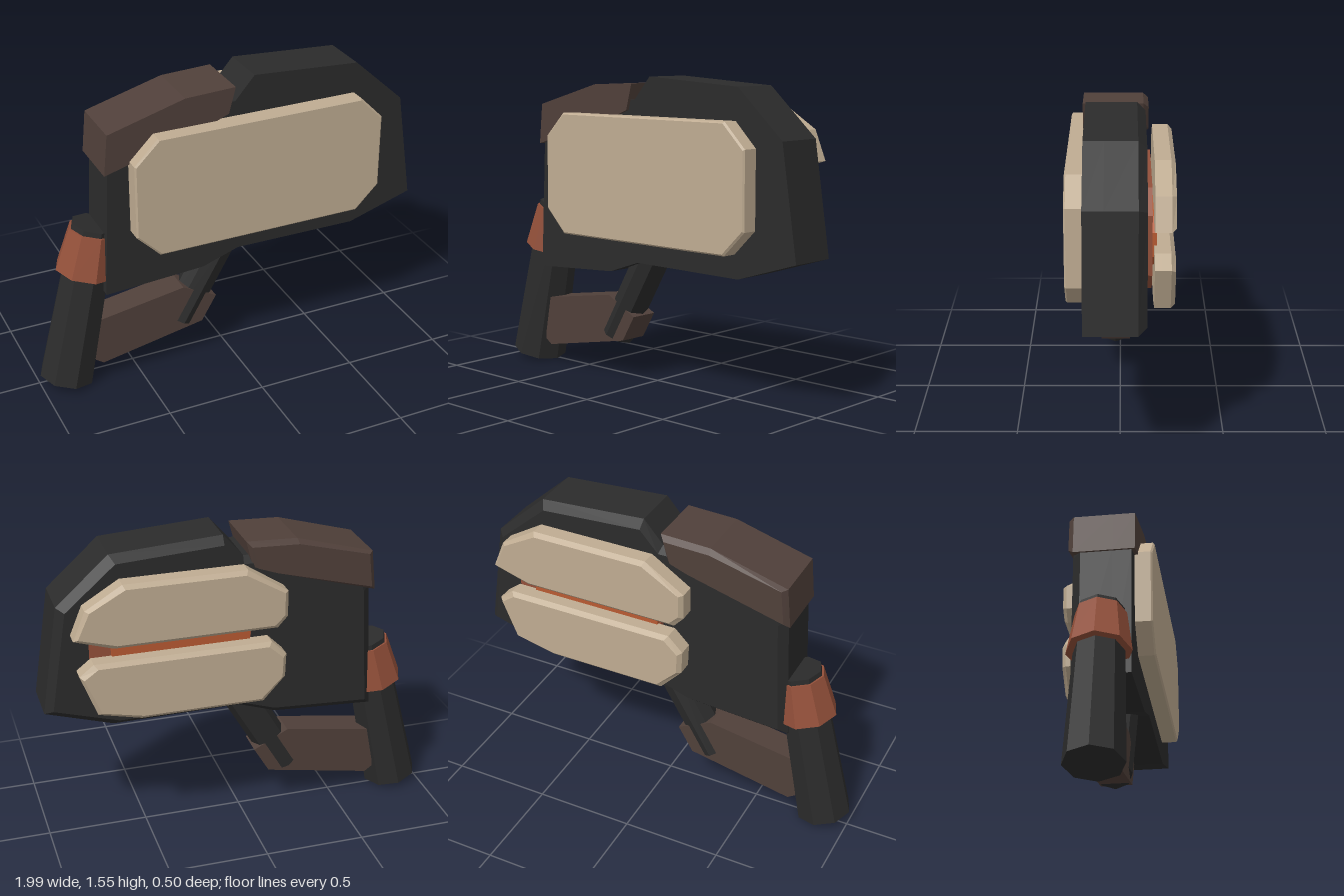
import * as THREE from 'three';

const paint = (name, color) => {
  const m = new THREE.MeshStandardMaterial({ color });
  m.name = name;
  return m;
};

// Outline in x/y extruded from z0 to z1, with optional bevels on the back and front rims.
function plate(points, z0, z1, back = 0, front = 0) {
  const shape = new THREE.Shape(points.map(([x, y]) => new THREE.Vector2(x, y)));
  const geo = new THREE.ExtrudeGeometry(shape, { depth: 3, steps: 3, bevelEnabled: false });
  geo.computeBoundingBox();
  const c = geo.boundingBox.getCenter(new THREE.Vector3());
  const size = geo.boundingBox.getSize(new THREE.Vector3());
  const d = z1 - z0;
  const levels = [z0, z0 + (back || d / 3), z1 - (front || d / 3), z1];
  const p = geo.attributes.position;
  for (let i = 0; i < p.count; i++) {
    const layer = Math.round(p.getZ(i));
    const inset = layer === 0 ? back : layer === 3 ? front : 0;
    p.setXYZ(i,
      c.x + (p.getX(i) - c.x) * (1 - 2 * inset / size.x),
      c.y + (p.getY(i) - c.y) * (1 - 2 * inset / size.y),
      levels[layer]);
  }
  geo.computeVertexNormals();
  return geo;
}

// Faceted rod between two x/y points, centred on the handle plane.
function rod(a, b, r0, r1) {
  const from = new THREE.Vector3(...a, 0.025), to = new THREE.Vector3(...b, 0.025);
  const dir = to.clone().sub(from);
  const geo = new THREE.CylinderGeometry(r1, r0, dir.length(), 8).toNonIndexed();
  geo.computeVertexNormals();
  geo.applyQuaternion(new THREE.Quaternion().setFromUnitVectors(new THREE.Vector3(0, 1, 0), dir.normalize()));
  const mid = from.add(to).multiplyScalar(0.5);
  return geo.translate(mid.x, mid.y, mid.z);
}

// Rectangle with cut corners.
const octagon = (x0, x1, y0, y1, c) => [
  [x0 + c, y0], [x1 - c, y0], [x1, y0 + c], [x1, y1 - c],
  [x1 - c, y1], [x0 + c, y1], [x0, y1 - c], [x0, y0 + c]];

export function createModel() {
  const group = new THREE.Group();
  const dark = paint('charcoal', 0x2b2b2b);
  const brown = paint('dark brown', 0x50403a);
  const cream = paint('cream', 0xbfac92);
  const rust = paint('rust', 0x94503a);
  const orange = paint('orange', 0xb85a32);

  const add = (name, geo, mat) => {
    const mesh = new THREE.Mesh(geo, mat);
    mesh.name = name;
    group.add(mesh);
  };

  // Main housing, bevelled along its back rim
  add('body', plate([
    [-0.68, 0.54], [-0.17, 0.57], [0.02, 0.635], [0.66, 0.63], [0.995, 0.735], [0.91, 1.28],
    [0.65, 1.515], [0.1, 1.55], [0, 1.435], [-0.25, 1.435], [-0.6, 1.35], [-0.65, 1.2],
  ], -0.12, 0.165, 0.04), dark);

  // Cover over the rear top corner
  add('topCover', plate([
    [-0.67, 1.19], [-0.14, 1.345], [-0.04, 1.385], [-0.005, 1.515], [-0.26, 1.505], [-0.65, 1.395],
  ], -0.138, 0.182, 0.025), brown);

  // Front side panel
  add('frontPanel', plate(octagon(-0.545, 0.76, 0.745, 1.36, 0.12), 0.16, 0.25, 0, 0.008), cream);

  // Back side: stacked plates under two armour panels
  add('backPlate', plate(octagon(-0.02, 0.77, 0.83, 1.31, 0.1), -0.143, -0.11), rust);
  add('backCore', plate(octagon(-0.01, 0.67, 0.92, 1.155, 0.06), -0.165, -0.135), orange);
  add('upperBackPanel', plate([
    [-0.18, 1.16], [-0.13, 1.105], [0.67, 1.105], [0.86, 1.165], [0.8, 1.31],
    [0.62, 1.42], [0.02, 1.42], [-0.18, 1.29],
  ], -0.247, -0.153, 0.02), cream);
  add('lowerBackPanel', plate([
    [-0.17, 0.84], [-0.06, 0.72], [0.55, 0.72], [0.76, 0.77], [0.84, 0.98],
    [0.77, 1.035], [-0.1, 1.035], [-0.175, 0.96],
  ], -0.247, -0.153, 0.02), cream);

  // Rear grip with its tapered collar
  add('grip', rod([-0.863, 0.035], [-0.68, 0.865], 0.14, 0.112), dark);
  add('gripCollar', rod([-0.735, 0.622], [-0.687, 0.84], 0.153, 0.122), rust);

  // Slanted strut and the link joining it to the grip
  add('strut', rod([-0.255, 0.222], [0.01, 0.68], 0.09, 0.09), dark);
  add('link', plate([
    [-0.73, 0.13], [-0.69, 0.102], [-0.15, 0.205], [-0.072, 0.338], [-0.25, 0.43], [-0.72, 0.355],
  ], -0.05, 0.1), brown);

  return group;
}
